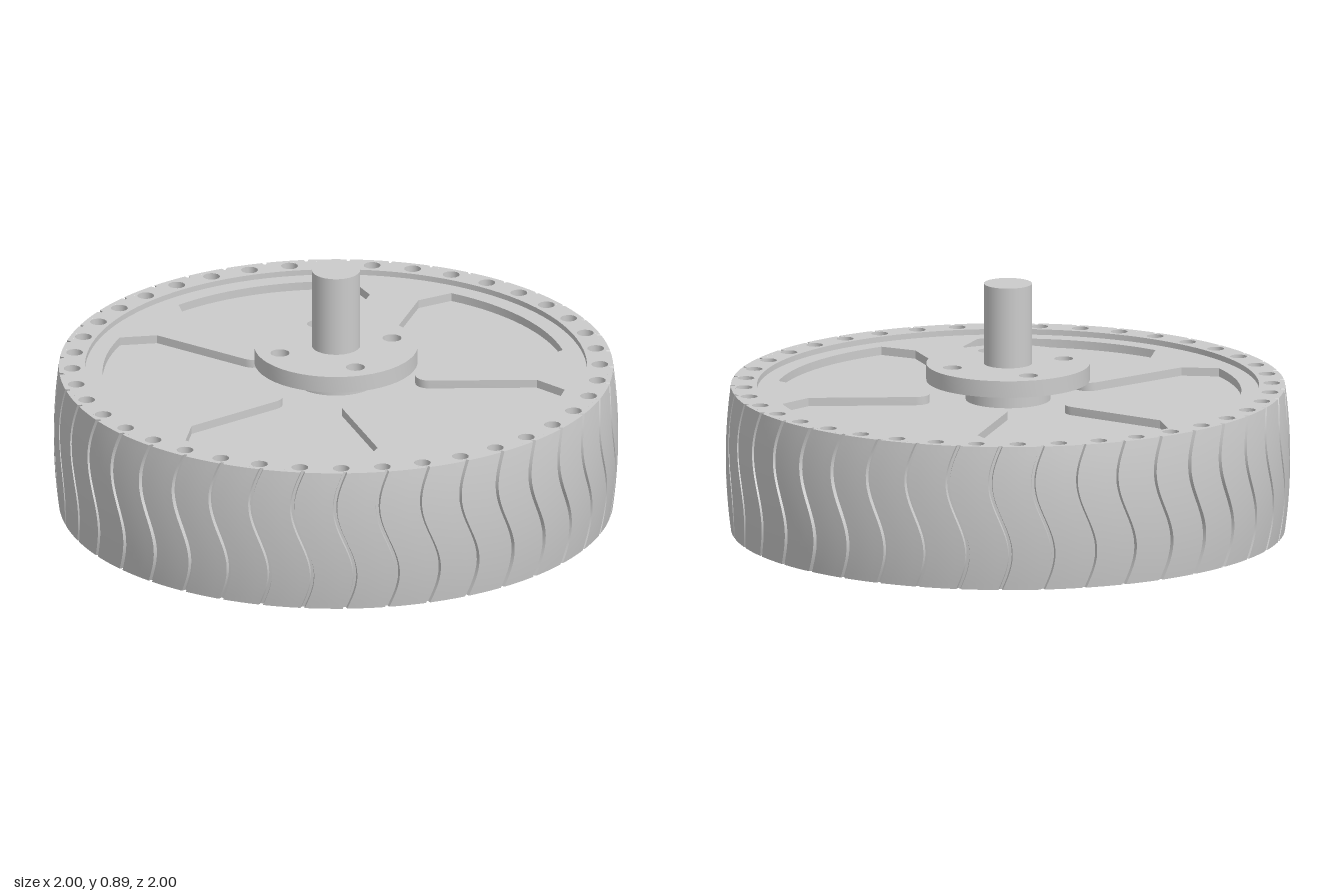
import * as THREE from 'three';
import { toCreasedNormals } from 'three/addons/utils/BufferGeometryUtils.js';

const H = 0.52;          // tyre height
const TYRE_IN = 0.89;    // inner radius of the tyre
const TYRE_CORE = 0.966; // radius just below the tread grooves
const mat = new THREE.MeshStandardMaterial({ color: 0xcccccc, roughness: 0.8 });

function circle(r, n, cx = 0, cy = 0) {
  const pts = [];
  for (let i = 0; i < n; i++) {
    const a = (i / n) * Math.PI * 2;
    pts.push(new THREE.Vector2(cx + r * Math.cos(a), cy + r * Math.sin(a)));
  }
  return pts;
}

// Flat plate lying in the ground plane, with holes, from y0 to y1
function plate(name, outline, holes, y0, y1) {
  const shape = new THREE.Shape(outline);
  shape.holes = holes.map((h) => new THREE.Path(h));
  const geo = new THREE.ExtrudeGeometry(shape, { depth: y1 - y0, bevelEnabled: false });
  geo.rotateX(-Math.PI / 2);
  geo.translate(0, y0, 0);
  const mesh = new THREE.Mesh(toCreasedNormals(geo, 0.55), mat);
  mesh.name = name;
  return mesh;
}

function cylinder(name, r, y0, y1, n) {
  const mesh = new THREE.Mesh(new THREE.CylinderGeometry(r, r, y1 - y0, n), mat);
  mesh.position.y = (y0 + y1) / 2;
  mesh.name = name;
  return mesh;
}

function ringOfHoles(count, radius, r, n) {
  return circle(radius, count).map((p) => circle(r, n, p.x, p.y));
}

// Recess outline: five round-ended spokes reach in from the rim
function recessOutline() {
  const rim = 0.827, half = 0.09, tip = 0.28, round = 0.05;
  const pts = [];
  for (let k = 0; k < 5; k++) {
    const dir = -Math.PI / 2 + (k * Math.PI * 2) / 5;
    const add = (u, v) => pts.push(new THREE.Vector2(
      u * Math.cos(dir) - v * Math.sin(dir), u * Math.sin(dir) + v * Math.cos(dir)));
    add(0.71, -half);
    for (let i = 0; i <= 6; i++) {
      const a = (i / 6) * Math.PI / 2;
      add(tip + round - round * Math.sin(a), -half + round - round * Math.cos(a));
    }
    for (let i = 6; i >= 0; i--) {
      const a = (i / 6) * Math.PI / 2;
      add(tip + round - round * Math.sin(a), half - round + round * Math.cos(a));
    }
    add(0.71, half);
    // rim arc to the next spoke
    const a0 = 0.222, a1 = (Math.PI * 2) / 5 - 0.222;
    for (let i = 0; i <= 16; i++) {
      const a = a0 + ((a1 - a0) * i) / 16;
      add(rim * Math.cos(a), rim * Math.sin(a));
    }
  }
  return pts;
}

// Crowned tread with S-shaped grooves
function tread() {
  const count = 41, rows = 24, depth = 0.014;
  const pitch = (Math.PI * 2) / count;
  // [angle offset, depth] across one pitch
  const section = [[-0.008, 0], [-0.005, depth], [0.005, depth], [0.008, 0],
    [0.042, 0], [0.077, 0], [0.111, 0]];
  const cols = [];
  for (let k = 0; k < count; k++) for (const [a, d] of section) cols.push([k * pitch + a, d]);

  const pos = [], index = [];
  const n = cols.length;
  for (let j = -1; j <= rows + 1; j++) {
    const t = Math.min(Math.max(j / rows, 0), 1);
    const isCap = j < 0 || j > rows;
    const crown = 1 - 0.018 * (2 * t - 1) ** 2;
    const wave = 0.005 - 0.036 * Math.sin(2 * Math.PI * (t - 0.5));
    for (const [a, d] of cols) {
      const r = isCap ? TYRE_CORE : crown - d;
      pos.push(r * Math.sin(a + wave), t * H, r * Math.cos(a + wave));
    }
  }
  for (let j = 0; j < rows + 2; j++) {
    for (let i = 0; i < n; i++) {
      const a = j * n + i, b = j * n + ((i + 1) % n);
      index.push(a, b, b + n, a, b + n, a + n);
    }
  }
  const geo = new THREE.BufferGeometry();
  geo.setAttribute('position', new THREE.Float32BufferAttribute(pos, 3));
  geo.setIndex(index);
  const mesh = new THREE.Mesh(toCreasedNormals(geo, 0.5), mat);
  mesh.name = 'tread';
  return mesh;
}

export function createModel() {
  const model = new THREE.Group();
  model.name = 'wheel';

  // Tyre with a ring of through holes
  const tyre = new THREE.Group();
  tyre.name = 'tyre';
  tyre.add(
    plate('tyreBody', circle(TYRE_CORE, 160),
      [circle(TYRE_IN, 120), ...ringOfHoles(40, 0.935, 0.03, 14)], 0, H),
    tread(),
  );

  // Wheel disc with raised rim and spokes on both sides
  const disc = new THREE.Group();
  disc.name = 'disc';
  const recess = recessOutline();
  disc.add(
    cylinder('discCore', TYRE_IN, 0.05, 0.47, 120),
    plate('upperSpokes', circle(TYRE_IN, 120), [recess], 0.47, 0.5),
    plate('lowerSpokes', circle(TYRE_IN, 120), [recess], 0.02, 0.05),
  );

  // Hub, bolted flange and axle
  const hub = new THREE.Group();
  hub.name = 'hub';
  hub.add(
    cylinder('lowerBoss', 0.175, 0.03, 0.06, 48),
    cylinder('upperBoss', 0.15, 0.46, 0.54, 48),
    plate('flange', circle(0.29, 48), ringOfHoles(4, 0.21, 0.034, 16), 0.54, 0.6),
    cylinder('axle', 0.086, 0.59, 0.89, 24),
  );

  model.add(tyre, disc, hub);
  return model;
}
